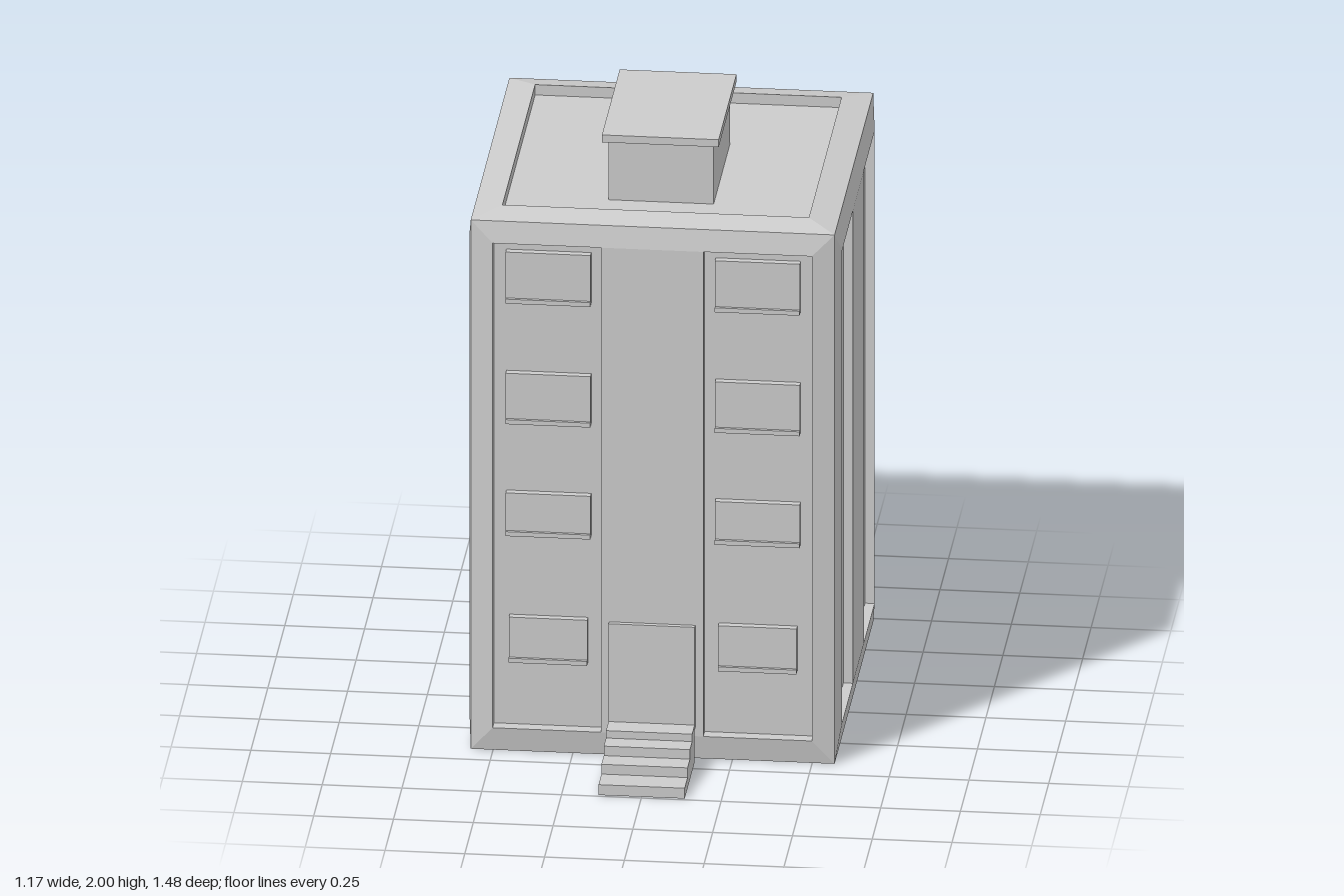
import * as THREE from 'three';

const material = new THREE.MeshStandardMaterial({ color: 0xcccccc, flatShading: true });
const HALF = 0.57, HEIGHT = 1.79, CENTRE_Z = -0.155;

function addMesh(parent, name, geometry) {
  const mesh = new THREE.Mesh(geometry, material);
  mesh.name = name;
  parent.add(mesh);
  return mesh;
}

// Box given by its extents on each axis
function addBox(parent, name, [x0, x1], [y0, y1], [z0, z1]) {
  const box = addMesh(parent, name, new THREE.BoxGeometry(x1 - x0, y1 - y0, z1 - z0));
  box.position.set((x0 + x1) / 2, (y0 + y1) / 2, (z0 + z1) / 2);
  return box;
}

// Wall facing +z: sloping border, raised face and recessed bays (u ranges), left to right
function framedPanel({ bottom, top, lower, upper, bays, raise, depth, offset }) {
  const pos = [];
  const quad = (a, b, c, d) => pos.push(...a, ...b, ...c, ...a, ...c, ...d);
  const rect = (u0, u1, v0, v1, d) => [[u0, v0, d], [u1, v0, d], [u1, v1, d], [u0, v1, d]];
  const face = offset + raise;
  const outer = rect(-HALF, HALF, bottom, top, offset);
  const inner = rect(bays[0][0], bays[bays.length - 1][1], lower, upper, face);
  for (let i = 0; i < 4; i++) {
    const j = (i + 1) % 4;
    quad(outer[i], outer[j], inner[j], inner[i]);
  }
  bays.forEach(([u0, u1], n) => {
    const rim = rect(u0, u1, lower, upper, face);
    const floor = rect(u0, u1, lower, upper, face - depth);
    quad(...floor);
    for (let i = 0; i < 4; i++) {
      const j = (i + 1) % 4;
      quad(rim[i], rim[j], floor[j], floor[i]);
    }
    // Pilaster between this bay and the next
    if (n + 1 < bays.length) quad(...rect(u1, bays[n + 1][0], lower, upper, face));
  });
  const geometry = new THREE.BufferGeometry();
  geometry.setAttribute('position', new THREE.Float32BufferAttribute(pos, 3));
  geometry.computeVertexNormals();
  return geometry;
}

export function createModel() {
  const model = new THREE.Group();
  model.name = 'apartmentBuilding';

  // Tower shell: four walls, roof and underside
  const tower = new THREE.Group();
  tower.name = 'tower';
  tower.position.z = CENTRE_Z;
  model.add(tower);

  const wall = { bottom: 0, top: HEIGHT, raise: 0.014, offset: HALF };
  addMesh(tower, 'frontWall', framedPanel({
    ...wall, lower: 0.08, upper: 1.72, depth: 0.04, bays: [[-0.5, -0.16], [0.16, 0.5]],
  }));
  ['leftWall', 'backWall', 'rightWall'].forEach((name, i) => {
    const mesh = addMesh(tower, name, framedPanel({
      ...wall, lower: 0.1, upper: 1.7, depth: 0.03, bays: [[-0.48, -0.16], [0.16, 0.48]],
    }));
    mesh.rotation.y = (i + 1) * Math.PI / 2;
  });
  const roof = addMesh(tower, 'roof', framedPanel({
    bottom: -HALF, top: HALF, lower: -0.482, upper: 0.482, bays: [[-0.48, 0.48]],
    raise: 0.018, depth: 0.035, offset: HEIGHT,
  }));
  roof.rotation.x = -Math.PI / 2;
  const underside = addMesh(tower, 'underside', new THREE.PlaneGeometry(2 * HALF, 2 * HALF));
  underside.rotation.x = Math.PI / 2;

  // Roof hut with an overhanging cap
  addBox(model, 'roofHut', [-0.165, 0.165], [1.77, 1.975], [-0.31, 0.17]);
  addBox(model, 'roofHutCap', [-0.183, 0.183], [1.975, 2], [-0.335, 0.19]);

  // Windows with sills in both front bays: bottom, top, half width
  const rows = [[0.3, 0.45, 0.123], [0.728, 0.87, 0.133], [1.107, 1.275, 0.133], [1.515, 1.685, 0.133]];
  for (const side of [-1, 1]) {
    for (const [y0, y1, half] of rows) {
      const x = side * 0.328;
      const span = [x - half, x + half];
      addBox(model, 'window', span, [y0 + 0.015, y1], [0.38, 0.413]);
      addBox(model, 'windowSill', span, [y0, y0 + 0.015], [0.38, 0.423]);
    }
  }

  // Entrance door
  addBox(model, 'door', [-0.135, 0.135], [0.11, 0.455], [0.42, 0.445]);

  // Entrance steps, extruded across the width from their side profile
  const edges = [0.74, 0.655, 0.585, 0.52, 0.447];
  const heights = [0.035, 0.068, 0.1, 0.125];
  const profile = new THREE.Shape();
  profile.moveTo(edges[4], 0);
  profile.lineTo(edges[0], 0);
  heights.forEach((h, i) => {
    profile.lineTo(edges[i], h);
    profile.lineTo(edges[i + 1], h);
  });
  const steps = addMesh(model, 'entranceSteps',
    new THREE.ExtrudeGeometry(profile, { depth: 0.27, bevelEnabled: false }));
  steps.rotation.y = -Math.PI / 2;
  steps.position.x = 0.135;

  return model;
}
